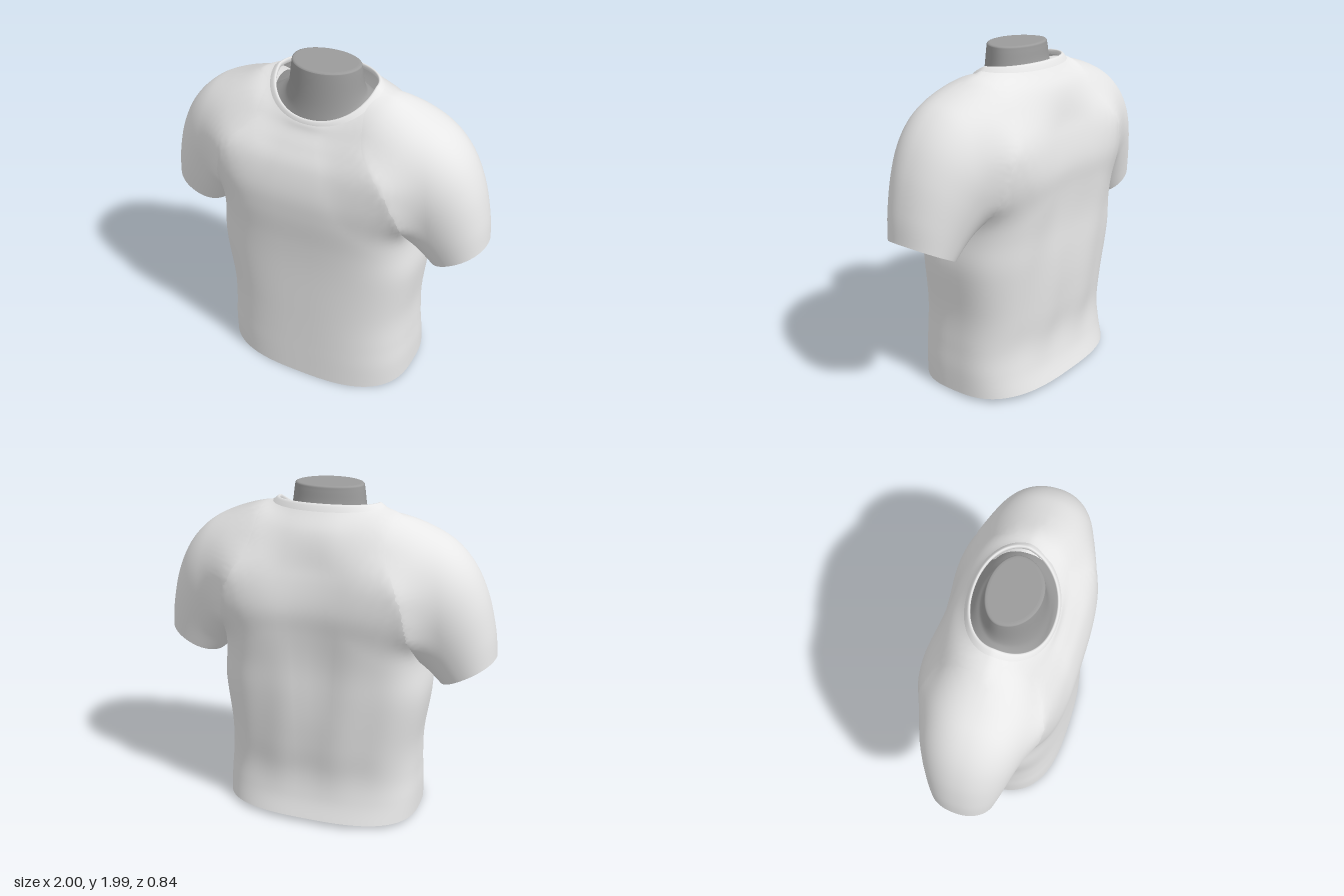
import * as THREE from 'three';

const SEG = 112;
const shirtMat = new THREE.MeshStandardMaterial({ color: 0xe8e8e8, side: THREE.DoubleSide });
shirtMat.name = 'light grey fabric';
const bodyMat = new THREE.MeshStandardMaterial({ color: 0x9b9b9b, side: THREE.DoubleSide });
bodyMat.name = 'grey mannequin';

// Torso rows: y at front, side, back; half width; front z; back z; squareness
const TORSO = [
  [0, 0.015, 0.03, 0.603, 0.42, -0.41, 2.8],
  [0.15, 0.15, 0.15, 0.6, 0.415, -0.37, 2.9],
  [0.3, 0.3, 0.3, 0.59, 0.41, -0.352, 2.9],
  [0.5, 0.5, 0.5, 0.588, 0.405, -0.37, 2.9],
  [0.8, 0.8, 0.8, 0.62, 0.4, -0.39, 3.0],
  [1.0, 1.0, 1.0, 0.6, 0.405, -0.4, 3.2],
  [1.2, 1.2, 1.2, 0.585, 0.42, -0.42, 3.5],
  [1.35, 1.35, 1.35, 0.585, 0.416, -0.432, 3.5],
  [1.5, 1.5, 1.5, 0.58, 0.378, -0.408, 3.2],
  [1.6, 1.66, 1.64, 0.54, 0.322, -0.363, 2.6],
  [1.67, 1.82, 1.77, 0.44, 0.275, -0.3, 2.3],
  [1.71, 1.87, 1.86, 0.34, 0.258, -0.235, 2.1],
  [1.735, 1.892, 1.905, 0.295, 0.24, -0.2, 2.1],
];
// Mannequin rows, same columns, from the cut waist to the top of the neck
const BODY = [
  [0.3, 0.3, 0.3, 0.5, 0.36, -0.3, 2.4],
  [0.6, 0.6, 0.6, 0.52, 0.36, -0.32, 2.4],
  [1.0, 1.0, 1.0, 0.53, 0.36, -0.34, 2.4],
  [1.3, 1.3, 1.3, 0.53, 0.37, -0.37, 2.4],
  [1.5, 1.5, 1.5, 0.49, 0.32, -0.34, 2.4],
  [1.61, 1.7, 1.7, 0.39, 0.23, -0.25, 2.2],
  [1.7, 1.79, 1.83, 0.26, 0.205, -0.185, 2],
  [1.8, 1.84, 1.88, 0.222, 0.185, -0.145, 2],
  [1.96, 1.96, 1.96, 0.203, 0.17, -0.13, 2],
  [1.985, 1.985, 1.985, 0.197, 0.165, -0.125, 2],
  [1.99, 1.99, 1.99, 0.18, 0.15, -0.11, 2],
];
// Sleeve rows: inner x, y; outer x, y; front z; back z
const SLEEVE = [
  [0.69, 0.9, 1.0, 1.07, 0.18, -0.2],
  [0.6, 0.985, 0.982, 1.22, 0.21, -0.23],
  [0.5, 1.05, 0.93, 1.42, 0.245, -0.27],
  [0.42, 1.08, 0.845, 1.59, 0.28, -0.305],
  [0.34, 1.1, 0.725, 1.715, 0.305, -0.325],
  [0.26, 1.12, 0.57, 1.795, 0.31, -0.33],
  [0.18, 1.16, 0.4, 1.845, 0.27, -0.29],
  [0.12, 1.2, 0.28, 1.85, 0.2, -0.21],
];

// Catmull-Rom value of a table of rows at t in 0..1
function rowAt(rows, t) {
  const f = t * (rows.length - 1);
  const i = Math.min(Math.floor(f), rows.length - 2), u = f - i;
  const at = (k) => rows[THREE.MathUtils.clamp(k, 0, rows.length - 1)];
  const [a, b, c, d] = [at(i - 1), at(i), at(i + 1), at(i + 2)];
  return b.map((_, k) => b[k] + 0.5 * u * (c[k] - a[k] + u * (2 * a[k] - 5 * b[k] + 4 * c[k] - d[k]
    + u * (3 * (b[k] - c[k]) + d[k] - a[k]))));
}
const sample = (rows, n, from = 0, to = 1) =>
  Array.from({ length: n + 1 }, (_, i) => rowAt(rows, from + (to - from) * i / n));

const spow = (v, e) => Math.sign(v) * Math.abs(v) ** e;
const ramp = THREE.MathUtils.smoothstep;

// Point on a horizontal ring whose height varies round the body; the waist hangs slightly to the left
function torsoPoint([yF, yS, yB, hx, zF, zB, n], a) {
  const c = spow(Math.cos(a), 2 / n), s = spow(Math.sin(a), 2 / n);
  const y = yS + ((s > 0 ? yF : yB) - yS) * Math.abs(s) ** 1.2;
  return [hx * c + 0.014 * (1 - ramp(y, 0.2, 0.8)), y, (s > 0 ? zF : -zB) * s];
}
// Same, with the spine hollow and soft folds of the fabric on the back
function fabricPoint(row, a) {
  const [x, y, z] = torsoPoint(row, a);
  if (z >= 0) return [x, y, z];
  const up = ramp(y, 0.6, 1.2) * (1 - ramp(y, 1.55, 1.8));
  const low = ramp(y, 0.1, 0.4) * (1 - ramp(y, 0.8, 1.3));
  const back = Math.sin(a) ** 2;
  return [x, y, z + back * (0.036 * up * Math.exp(-((x / 0.2) ** 2)) + 0.007 * low * Math.sin(x * 19 + y * 3))];
}
// Point on a tilted sleeve ring
function sleevePoint([ix, iy, ox, oy, zF, zB], a) {
  const c = spow(Math.cos(a), 0.92), s = spow(Math.sin(a), 0.92);
  return [(ix + ox) / 2 + (ox - ix) / 2 * c, (iy + oy) / 2 + (oy - iy) / 2 * c, (s > 0 ? zF : -zB) * s];
}

function geometry(pos, idx) {
  const g = new THREE.BufferGeometry();
  g.setAttribute('position', new THREE.Float32BufferAttribute(pos, 3));
  g.setIndex(idx);
  g.computeVertexNormals();
  return g;
}
// Skin a stack of rings
function loft(rows, point) {
  const pos = [], idx = [];
  rows.forEach((row, r) => {
    for (let i = 0; i < SEG; i++) {
      pos.push(...point(row, i / SEG * Math.PI * 2));
      if (r === 0) continue;
      const j = (i + 1) % SEG, a = (r - 1) * SEG, b = r * SEG;
      idx.push(a + i, b + i, a + j, b + i, b + j, a + j);
    }
  });
  return geometry(pos, idx);
}
// Flat lid closing one ring
function lid(row, point, up) {
  const pos = [], idx = [], mid = [0, 0, 0];
  for (let i = 0; i < SEG; i++) {
    const p = point(row, i / SEG * Math.PI * 2);
    p.forEach((v, k) => { mid[k] += v / SEG; });
    pos.push(...p);
    const j = (i + 1) % SEG;
    idx.push(SEG, up ? j : i, up ? i : j);
  }
  pos.push(...mid);
  return geometry(pos, idx);
}

// Swell two crossing skins near their join and share their normals, so they flow together
function fillet(torso, sleeve, k = 0.16) {
  const nearest = (ga, gb) => {
    const A = ga.attributes.position, B = gb.attributes.position.array;
    return Array.from({ length: A.count }, (_, i) => {
      const x = Math.abs(A.getX(i)), y = A.getY(i), z = A.getZ(i);
      let best = k * k, at = -1;
      for (let j = 0; j < B.length && y > 0.98; j += 3) {
        const d = (x - B[j]) ** 2 + (y - B[j + 1]) ** 2 + (z - B[j + 2]) ** 2;
        if (d < best) { best = d; at = j / 3; }
      }
      return { at, h: (1 - Math.sqrt(best) / k) * ramp(y, 0.98, 1.25), top: ramp(y, 1.45, 1.7) };
    });
  };
  const jobs = [[torso, sleeve, nearest(torso, sleeve)], [sleeve, torso, nearest(sleeve, torso)]];
  for (const [g, , near] of jobs) {
    const p = g.attributes.position, n = g.attributes.normal;
    near.forEach(({ h, top }, i) => {
      const d = k / 4 * h * h * (1 - top);
      p.setXYZ(i, p.getX(i) + n.getX(i) * d, p.getY(i) + n.getY(i) * d, p.getZ(i) + n.getZ(i) * d);
    });
    g.computeVertexNormals();
  }
  const normals = new Map([torso, sleeve].map((g) => [g, g.attributes.normal.clone()]));
  const own = new THREE.Vector3(), shared = new THREE.Vector3();
  for (const [g, other, near] of jobs) {
    near.forEach(({ at, h }, i) => {
      if (at < 0) return;
      shared.fromBufferAttribute(normals.get(other), at);
      if (g.attributes.position.getX(i) < 0) shared.x *= -1;
      own.fromBufferAttribute(normals.get(g), i).lerp(shared, h / 2).normalize();
      g.attributes.normal.setXYZ(i, own.x, own.y, own.z);
    });
  }
}

export function createModel() {
  const model = new THREE.Group();
  model.name = 'tShirtOnBust';
  const add = (parent, name, geo, mat) => {
    const m = new THREE.Mesh(geo, mat);
    m.name = name;
    parent.add(m);
  };
  // Ring moved in or out by o and up by dy
  const offset = (r, o, dy) => [r[0] + dy, r[1] + dy, r[2] + dy, r[3] + o, r[4] + o, r[5] - o, r[6]];

  // Shirt skins
  const torso = loft(sample(TORSO, 72), fabricPoint);
  const sleeve = loft(sample(SLEEVE, 42), sleevePoint);
  fillet(torso, sleeve);
  add(model, 'shirtTorso', torso, shirtMat);

  // Folded hem inside the waist
  const hem = [offset(rowAt(TORSO, 0.04), -0.014, 0), offset(TORSO[0], -0.01, 0.002), TORSO[0]];
  add(model, 'hemLining', loft(hem, torsoPoint), shirtMat);

  // Soft collar band: outside, over the edge and down inside
  const collar = [[0.93, 0, 0], [0.945, 0.002, 0.002], [0.97, 0.004, 0.004], [0.99, 0.004, 0.005], [1, 0, 0.005],
    [1, -0.005, 0], [1, -0.005, -0.012], [1, 0, -0.025]].map(([t, o, dy]) => offset(rowAt(TORSO, t), o, dy));
  add(model, 'collar', loft(collar, torsoPoint), shirtMat);

  // Sleeves with cuff linings and arm stumps, mirrored; the left one hangs a little higher
  const shrink = ([ix, iy, ox, oy, f, b], k) => {
    const cx = (ix + ox) / 2, cy = (iy + oy) / 2;
    return [cx + (ix - cx) * k, cy + (iy - cy) * k, cx + (ox - cx) * k, cy + (oy - cy) * k, f * k, b * k];
  };
  const cuff = [shrink(rowAt(SLEEVE, 0.06), 0.93), shrink(SLEEVE[0], 0.96), SLEEVE[0]];
  const arm = sample(SLEEVE, 16, 0.17, 0.7).map((r) => shrink(r, 0.82));
  for (const side of [1, -1]) {
    const g = new THREE.Group();
    g.name = side > 0 ? 'leftSleeve' : 'rightSleeve';
    g.scale.x = side;
    g.position.y = side * 0.01;
    add(g, 'sleeve', sleeve, shirtMat);
    add(g, 'cuffLining', loft(cuff, sleevePoint), shirtMat);
    add(g, 'armStump', loft(arm, sleevePoint), bodyMat);
    add(g, 'armStumpEnd', lid(arm[0], sleevePoint, false), bodyMat);
    model.add(g);
  }

  // Mannequin bust inside the shirt
  add(model, 'bust', loft(sample(BODY, 60), torsoPoint), bodyMat);
  add(model, 'bustBase', lid(BODY[0], torsoPoint, false), bodyMat);
  add(model, 'neckTop', lid(BODY[BODY.length - 1], torsoPoint, true), bodyMat);
  return model;
}
